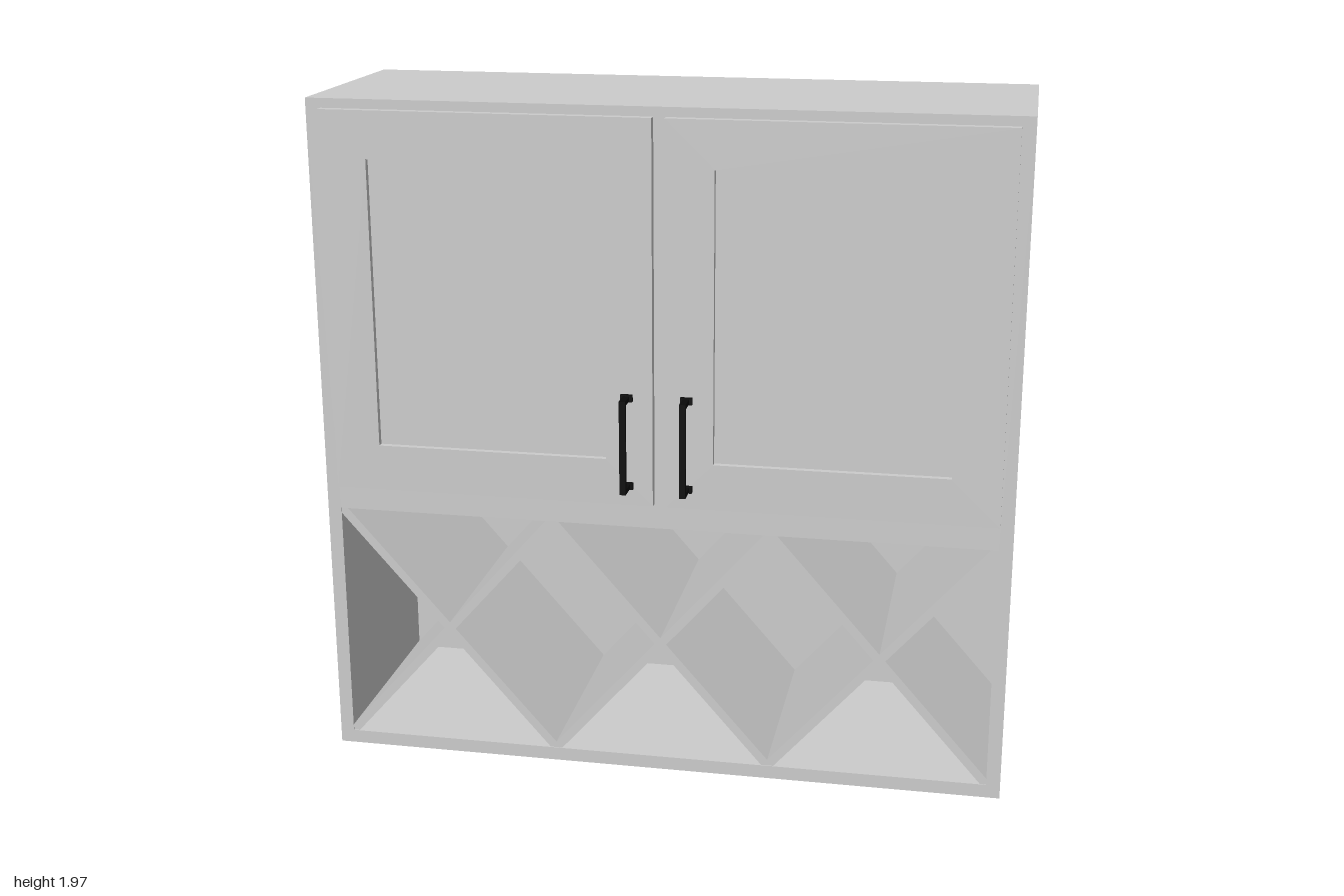
import * as THREE from 'three';

const BACK = -0.38, FRONT = 0.286, DOOR_FRONT = 0.313;
const grey = new THREE.MeshStandardMaterial({ color: 0xcccccc });
const black = new THREE.MeshStandardMaterial({ color: 0x0a0a0a });

// Box given by its extents on each axis
function box(name, [x0, x1], [y0, y1], [z0, z1], material = grey) {
  const mesh = new THREE.Mesh(new THREE.BoxGeometry(x1 - x0, y1 - y0, z1 - z0), material);
  mesh.position.set((x0 + x1) / 2, (y0 + y1) / 2, (z0 + z1) / 2);
  mesh.name = name;
  return mesh;
}

const rect = (x0, x1, y0, y1) =>
  [[x0, y0], [x1, y0], [x1, y1], [x0, y1]].map(([x, y]) => new THREE.Vector2(x, y));

// Flat outline, optionally with a hole, extruded from z0 to z1
function slab(name, points, hole, z0, z1) {
  const shape = new THREE.Shape(points);
  if (hole) shape.holes.push(new THREE.Path(hole));
  const geometry = new THREE.ExtrudeGeometry(shape, { depth: z1 - z0, bevelEnabled: false });
  const mesh = new THREE.Mesh(geometry, grey);
  mesh.position.z = z0;
  mesh.name = name;
  return mesh;
}

// Door: raised frame around a recessed panel
function door(name, outer, inner) {
  const group = new THREE.Group();
  group.name = name;
  const y = [0.84, 1.943], py = [0.975, 1.808];
  group.add(
    slab('doorFrame', rect(...outer, ...y), rect(...inner, ...py), FRONT, DOOR_FRONT),
    box('doorPanel', inner, py, [FRONT - 0.01, DOOR_FRONT - 0.018])
  );
  return group;
}

// Bar handle on two posts with small mounting feet
function handle(name, x) {
  const group = new THREE.Group();
  group.name = name;
  const w = 0.009;
  group.add(box('handleBar', [x - w, x + w], [0.893, 1.167], [0.368, 0.38], black));
  for (const y of [0.9, 1.16]) {
    group.add(
      box('handlePost', [x - w, x + w], [y - 0.007, y + 0.007], [DOOR_FRONT, 0.37], black),
      box('handleFoot', [x - 0.017, x + 0.017], [y - 0.01, y + 0.01], [DOOR_FRONT, 0.324], black)
    );
  }
  return group;
}

// Diagonal slat from corner to corner of one bay, ends trimmed to the bay
function slat(x0, y0, x1, y1) {
  const t = 0.018, sx = Math.sign(x1 - x0) * t, sy = Math.sign(y1 - y0) * t;
  const points = [
    [x0, y0], [x0 + sx, y0], [x1, y1 - sy], [x1, y1], [x1 - sx, y1], [x0, y0 + sy],
  ].map(([x, y]) => new THREE.Vector2(x, y));
  return slab('rackSlat', points, null, BACK + 0.02, FRONT - 0.003);
}

export function createModel() {
  const model = new THREE.Group();
  model.name = 'wallCabinet';

  // Carcass with the open rack bay below and a closed back
  const bay = { x: 0.96, y0: 0.04, y1: 0.765 };
  model.add(
    slab('carcass', rect(-1, 1, 0, 1.97), rect(-bay.x, bay.x, bay.y0, bay.y1), BACK, FRONT),
    box('backPanel', [-bay.x, bay.x], [bay.y0, bay.y1], [BACK, BACK + 0.02])
  );

  // Doors and handles
  model.add(
    door('rightDoor', [-0.957, -0.015], [-0.823, -0.15]),
    door('leftDoor', [0.02, 0.962], [0.158, 0.823]),
    handle('rightHandle', -0.088),
    handle('leftHandle', 0.082)
  );

  // Bottle rack: three crossed pairs of slats
  const rack = new THREE.Group();
  rack.name = 'bottleRack';
  const width = (2 * bay.x) / 3;
  for (let i = 0; i < 3; i++) {
    const x0 = -bay.x + i * width, x1 = x0 + width;
    rack.add(slat(x0, bay.y0, x1, bay.y1), slat(x0, bay.y1, x1, bay.y0));
  }
  model.add(rack);
  return model;
}
